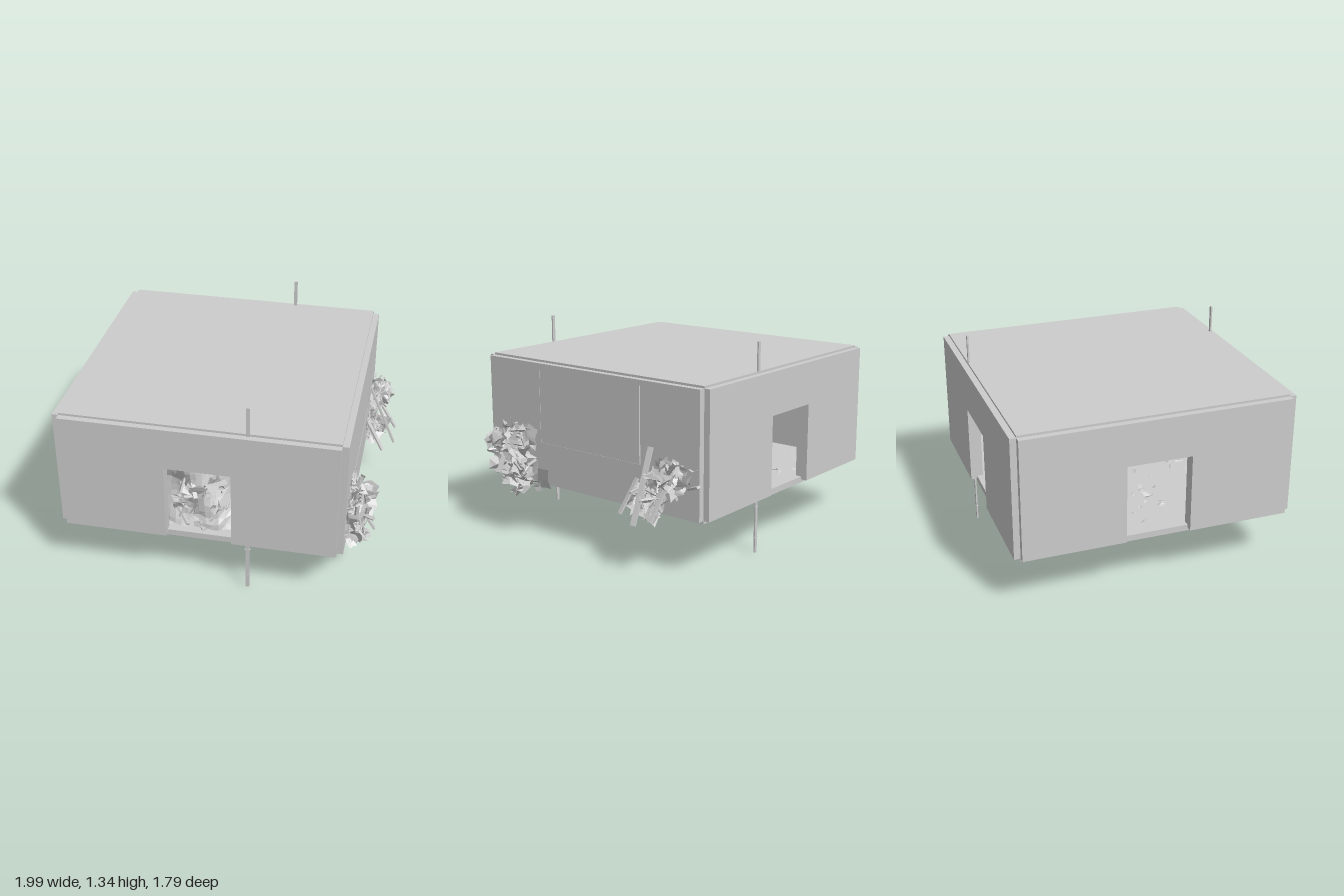
import * as THREE from 'three';
import { mergeGeometries } from 'three/addons/utils/BufferGeometryUtils.js';

const concrete = new THREE.MeshStandardMaterial({ color: 0xcccccc, flatShading: true, side: THREE.DoubleSide });
concrete.name = 'concrete grey';

// Room: square plan, walls centred on its boundary
const CX = -0.1025, CZ = -0.0225, SIZE = 1.715, HALF = SIZE / 2;
const BOTTOM = 0.355, TOP = 1.14, THICK = 0.08, DOOR_HALF = 0.2075, DOOR_TOP = 0.865;

let seed = 7;
const rand = () => (seed = (seed * 16807) % 2147483647) / 2147483647;
const spread = (r) => (rand() * 2 - 1) * r;

function add(group, name, geometry, x = 0, y = 0, z = 0) {
  const mesh = new THREE.Mesh(geometry, concrete);
  mesh.name = name;
  mesh.position.set(x, y, z);
  group.add(mesh);
  return mesh;
}

// Wall facing +z before it is turned, with an optional doorway or window
function wallGeometry(opening) {
  const pts = [[-HALF, BOTTOM]];
  if (opening === 'door') {
    pts.push([-DOOR_HALF, BOTTOM], [-DOOR_HALF, DOOR_TOP], [DOOR_HALF, DOOR_TOP], [DOOR_HALF, BOTTOM]);
  }
  pts.push([HALF, BOTTOM], [HALF, TOP], [-HALF, TOP]);
  const shape = new THREE.Shape(pts.map(([x, y]) => new THREE.Vector2(x, y)));
  if (opening === 'window') {
    const hole = [[-0.4125, 0.625], [-0.4125, 1.105], [0.4175, 1.105], [0.4175, 0.625]];
    shape.holes.push(new THREE.Path(hole.map(([x, y]) => new THREE.Vector2(x, y))));
  }
  const g = new THREE.ExtrudeGeometry(shape, { depth: THICK, bevelEnabled: false });
  return g.translate(0, 0, HALF - THICK / 2);
}

// Turn a geometry at random and move it into place, kept in front of minX..maxX
function scatter(g, x, y, z, maxX = 2) {
  g.rotateX(rand() * 6.28).rotateY(rand() * 6.28).rotateZ(rand() * 6.28).translate(x, y, z);
  const p = g.attributes.position;
  for (let i = 0; i < p.count; i++) if (p.getX(i) > maxX) p.setX(i, maxX);
  g.computeVertexNormals();
  return g;
}

// Torn, bent piece of sheet
function shard(size) {
  const g = new THREE.PlaneGeometry(size, size * (0.4 + rand() * 0.6), 2, 2);
  const p = g.attributes.position, bend = spread(3 / size);
  for (let i = 0; i < p.count; i++) {
    const x = p.getX(i) + spread(size * 0.16), y = p.getY(i) + spread(size * 0.16);
    p.setXYZ(i, x, y, bend * x * x * 0.4 + spread(size * 0.06));
  }
  return g;
}

// Pieces filling an ellipsoid; open piles keep only the half outside the wall
function heap(count, c, r, size, maxX, outward) {
  const parts = [];
  while (parts.length < count) {
    const v = new THREE.Vector3(spread(1), spread(1), spread(1));
    if (v.length() > 1) continue;
    if (outward) v.x = Math.abs(v.x);
    const s = size * (0.5 + rand() * 0.8);
    const piece = rand() < 0.2 ? new THREE.BoxGeometry(s * 1.2, s * 0.12, s * 0.2) : shard(s);
    parts.push(scatter(piece, c[0] + v.x * r[0], c[1] + v.y * r[1], c[2] + v.z * r[2], maxX));
  }
  return mergeGeometries(parts);
}

// Long plank between two points
function plank(group, a, b, width) {
  const from = new THREE.Vector3(...a), to = new THREE.Vector3(...b);
  const mesh = add(group, 'plank', new THREE.BoxGeometry(width, 0.012, from.distanceTo(to)));
  mesh.position.copy(from).add(to).multiplyScalar(0.5);
  mesh.lookAt(to);
}

export function createModel() {
  const model = new THREE.Group();
  model.name = 'ruinedRoom';

  // Floor and ceiling slabs
  add(model, 'floor', new THREE.BoxGeometry(SIZE, 0.04, SIZE), CX, 0.355, CZ);
  add(model, 'ceiling', new THREE.BoxGeometry(SIZE, 0.04, SIZE), CX, 1.134, CZ);

  // Four walls
  const walls = [['frontWall', 'door', 0], ['rightWall', 'window', 1], ['backWall', 'door', 2], ['leftWall', 'door', 3]];
  for (const [name, opening, turn] of walls) {
    add(model, name, wallGeometry(opening), CX, 0, CZ).rotation.y = turn * Math.PI / 2;
  }

  // Panel closing the window opening
  add(model, 'windowPanel', new THREE.BoxGeometry(THICK - 0.004, 0.48, 0.83), CX + HALF, 0.865, -0.015);

  // Thin poles passing through the front and back walls
  for (const z of [0.838, -0.873]) {
    add(model, 'pole', new THREE.BoxGeometry(0.022, 1.335, 0.01), 0.202, 0.6675, z);
    for (const y of [0.1, 0.3]) add(model, 'poleCollar', new THREE.BoxGeometry(0.034, 0.006, 0.014), 0.202, y, z);
  }

  // Crumpled sheet standing behind the front doorway
  const sheet = new THREE.PlaneGeometry(1, 1, 12, 12);
  const p = sheet.attributes.position;
  for (let i = 0; i < p.count; i++) {
    const u = p.getX(i) + 0.5, v = p.getY(i) + 0.5;
    const x = -0.36 + u * (0.5 - 0.09 * v);
    const y = 0.32 + v * (0.49 + 0.03 * u) + spread(0.008);
    const z = 0.72 - 0.35 * (u - 0.5) ** 2 + 0.1 * (1 - v) ** 3 + 0.02 * Math.sin(u * 9 + v * 5) + spread(0.008);
    p.setXYZ(i, x, y, z);
  }
  sheet.computeVertexNormals();
  add(model, 'crumpledSheet', sheet);

  // Rubble in the doorway, some of it breaking through the floor
  add(model, 'doorRubble', heap(50, [-0.11, 0.55, 0.73], [0.17, 0.2, 0.07], 0.1));
  add(model, 'doorRubbleBase', heap(34, [-0.16, 0.34, 0.62], [0.24, 0.04, 0.2], 0.12));

  // Rubble against the right wall, near the front and the back corner
  add(model, 'frontCornerRubble', mergeGeometries([
    heap(75, [0.8, 0.59, 0.61], [0.12, 0.13, 0.22], 0.1, 0.97, true),
    heap(50, [0.8, 0.4, 0.56], [0.11, 0.12, 0.21], 0.11, 0.95, true),
  ]));
  add(model, 'backCornerRubble', mergeGeometries([
    heap(55, [0.8, 0.6, -0.7], [0.12, 0.12, 0.17], 0.09, 0.97, true),
    heap(45, [0.8, 0.44, -0.55], [0.12, 0.11, 0.14], 0.09, 0.96, true),
  ]));
  plank(model, [0.8, 0.75, -0.525], [0.985, 0.315, -0.54], 0.035);
  plank(model, [0.8, 0.64, -0.7], [0.985, 0.36, -0.665], 0.03);
  plank(model, [0.8, 0.54, -0.42], [0.92, 0.34, -0.38], 0.03);
  plank(model, [0.8, 0.68, 0.64], [0.96, 0.42, 0.62], 0.03);

  // Small debris lying across the floor
  const bits = [];
  for (let i = 0; i < 90; i++) {
    const g = shard(0.03 + rand() * 0.05).rotateX(-Math.PI / 2 + spread(0.25)).rotateY(rand() * 6.28);
    bits.push(g.translate(CX + spread(0.76), 0.382, CZ + spread(0.76)));
  }
  add(model, 'floorDebris', mergeGeometries(bits));
  return model;
}
